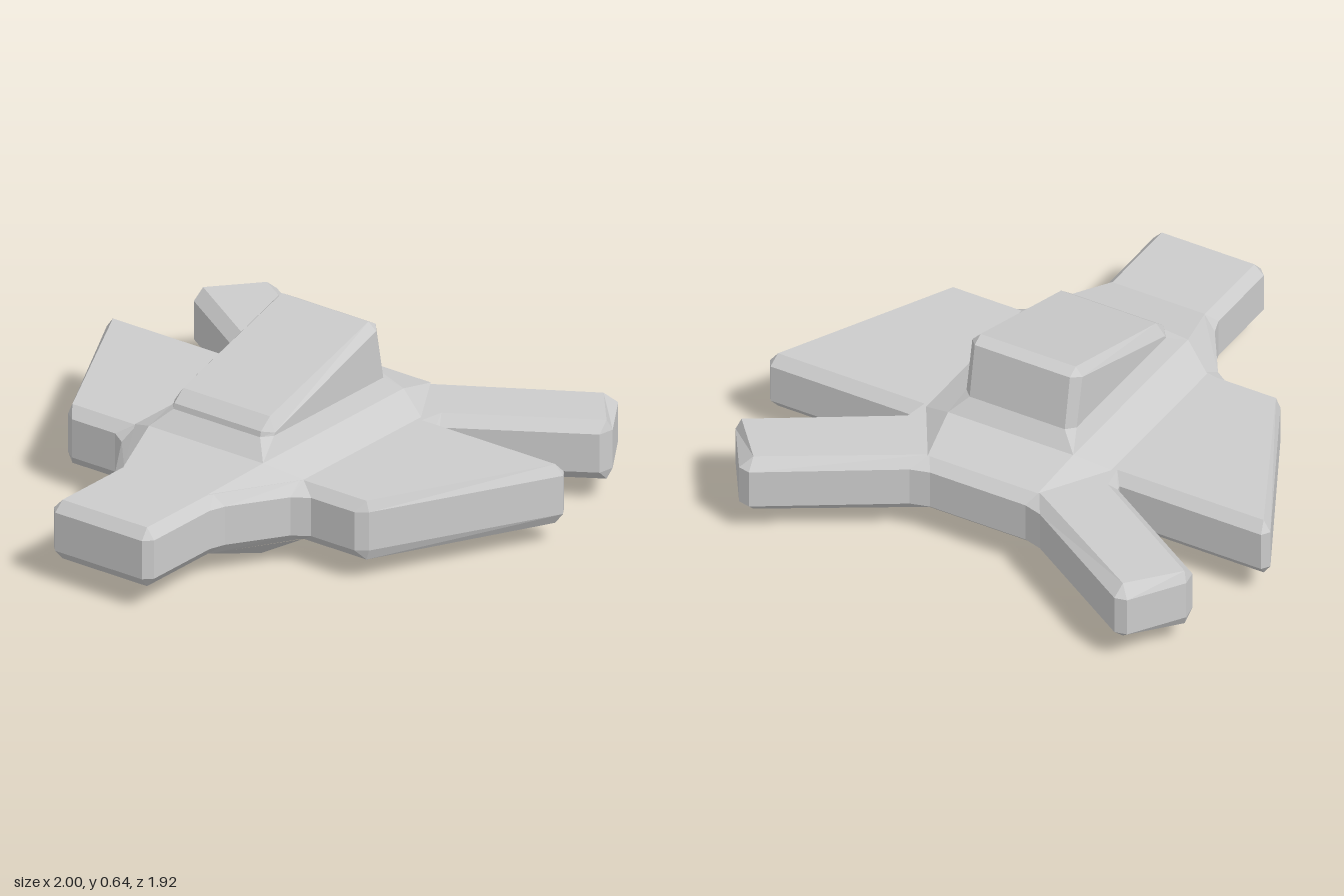
import * as THREE from 'three';

const material = new THREE.MeshStandardMaterial({ color: 0xcccccc, flatShading: true });

// Lofts a solid through rings of [x, y, z], counterclockwise from above, lowest first
function loft(name, rings, capBottom, capTop) {
  const positions = [];
  const tri = (a, b, c) => {
    const [p, q, r] = [a, b, c].map((v) => new THREE.Vector3(...v));
    const area = q.clone().sub(p).cross(r.clone().sub(p)).length();
    if (area > 1e-7) positions.push(...a, ...b, ...c);
  };
  for (let k = 0; k < rings.length - 1; k++) {
    const lo = rings[k], hi = rings[k + 1], n = lo.length;
    for (let i = 0; i < n; i++) {
      const j = (i + 1) % n;
      tri(lo[i], lo[j], hi[j]);
      tri(lo[i], hi[j], hi[i]);
    }
  }
  const cap = (ring, up) => {
    const flat = ring.map(([x, , z]) => new THREE.Vector2(z, x));
    for (const [a, b, c] of THREE.ShapeUtils.triangulateShape(flat, [])) {
      if (up) tri(ring[a], ring[b], ring[c]);
      else tri(ring[c], ring[b], ring[a]);
    }
  };
  if (capBottom) cap(rings[0], false);
  if (capTop) cap(rings[rings.length - 1], true);
  const geometry = new THREE.BufferGeometry();
  geometry.setAttribute('position', new THREE.Float32BufferAttribute(positions, 3));
  geometry.computeVertexNormals();
  const mesh = new THREE.Mesh(geometry, material);
  mesh.name = name;
  return mesh;
}

// Completes a ring from its +x half, listed from front to back
const mirror = (half) => [...half, ...half.map(([x, y, z]) => [-x, y, z]).reverse()];

// Half outline of the plate: bevelled face x, z then outer side x, z
const outline = [
  [0.185, 0.925, 0.19, 0.96], [0.185, 0.925, 0.22, 0.93],   // nose
  [0.185, 0.585, 0.22, 0.62], [0.195, 0.57, 0.24, 0.56],
  [0.36, 0.295, 0.37, 0.36], [0.37, 0.285, 0.43, 0.32],     // wing root
  [0.645, 0.285, 0.62, 0.32], [0.645, 0.285, 0.66, 0.29],
  [0.97, -0.355, 1.0, -0.36], [0.97, -0.355, 0.98, -0.39],  // wing tip
  [0.385, -0.355, 0.415, -0.39], [0.4, -0.445, 0.42, -0.41], // notch
  [0.885, -0.75, 0.89, -0.705], [0.885, -0.75, 0.9, -0.765], // tail fin tip
  [0.738, -0.92, 0.775, -0.955], [0.738, -0.92, 0.73, -0.965],
  [0.22, -0.605, 0.26, -0.67], [0.22, -0.605, 0.19, -0.65], // stern
];
const faceRing = (y) => mirror(outline.map(([x, z]) => [x, y, z]));
const sideRing = (y) => mirror(outline.map(([, , x, z]) => [x, y, z]));

// Footprint where the raised spine and the keel meet the plate
const footprint = (y) => mirror([[0.185, y, 0.585], [0.37, y, 0.285], [0.37, y, -0.37], [0.22, y, -0.615]]);
const rectangle = (x, y, front, back) =>
  mirror([[x, y, front], [x, y, front], [x, y, back], [x, y, back]]);

// Cabin ring with clipped corners: side height and depth, then end height and depth
const cabinRing = (sx, [fsy, fsz], [fey, fez], [bsy, bsz], [bey, bez]) => mirror([
  [0.19, fey, fez], [sx, fsy, fsz], [sx, bsy, bsz], [0.19, bey, bez],
]);

export function createModel() {
  const group = new THREE.Group();
  group.name = 'spacecraft';

  // Flat plate: nose, wings and tail fins in one bevelled outline
  group.add(loft('wingPlate', [faceRing(0.08), sideRing(0.12), sideRing(0.265), faceRing(0.303)], true, true));

  // Sloping spine above and keel below
  group.add(loft('spine', [footprint(0.305), rectangle(0.25, 0.36, 0.36, -0.425)], false, true));
  group.add(loft('keel', [rectangle(0.22, 0, 0.33, -0.385), footprint(0.08)], true, false));

  // Wedge cabin rising towards the back
  group.add(loft('cabin', [
    rectangle(0.25, 0.36, 0.36, -0.425),
    cabinRing(0.22, [0.42, 0.26], [0.42, 0.3], [0.42, -0.35], [0.42, -0.38]),
    cabinRing(0.22, [0.43, 0.255], [0.44, 0.295], [0.61, -0.31], [0.618, -0.345]),
    cabinRing(0.19, [0.48, 0.245], [0.48, 0.245], [0.64, -0.305], [0.64, -0.305]),
  ], false, true));

  return group;
}
